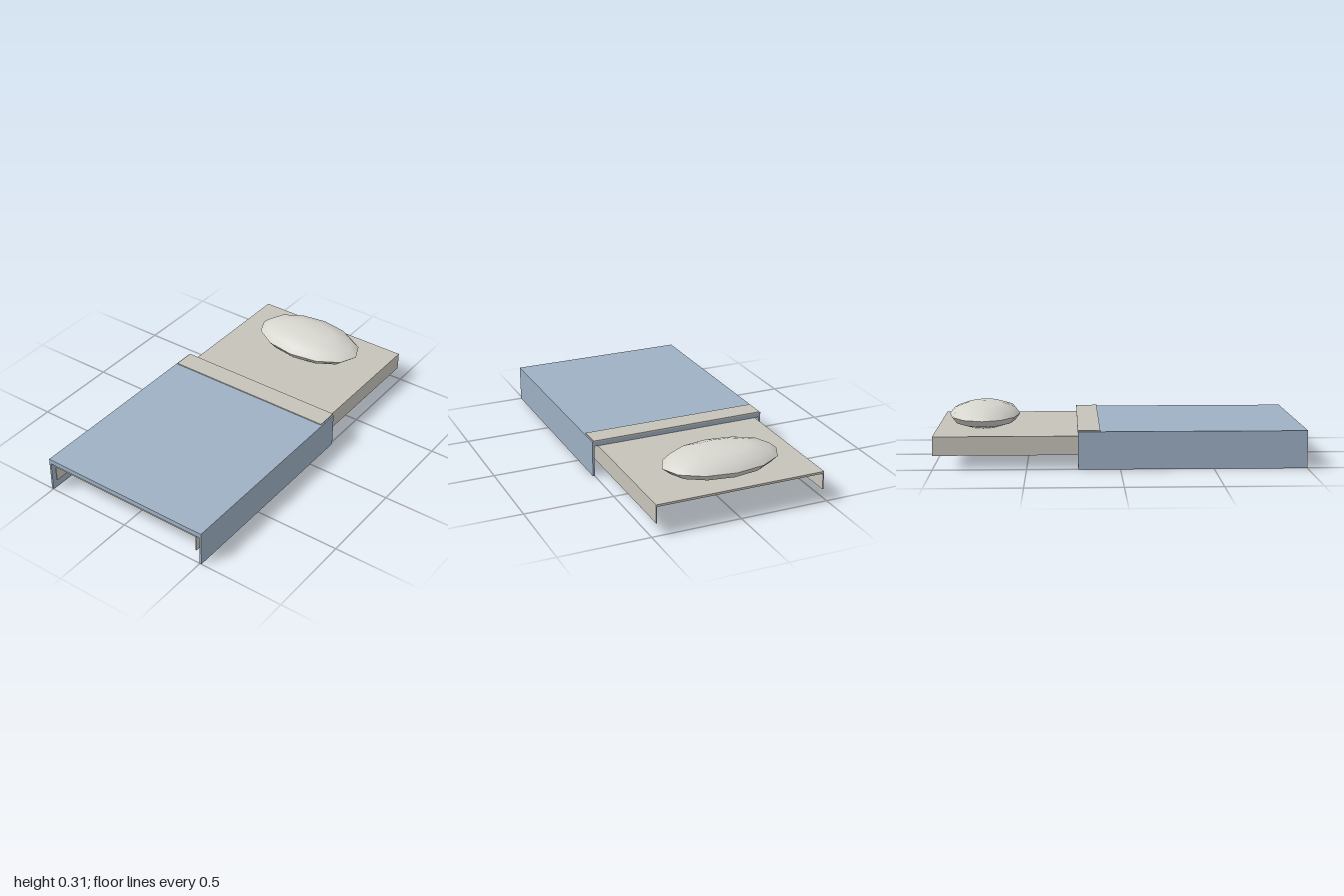
import * as THREE from 'three';
import { toCreasedNormals } from 'three/addons/utils/BufferGeometryUtils.js';

const material = (name, color) => {
  const m = new THREE.MeshStandardMaterial({ color });
  m.name = name;
  return m;
};

// Box given by its lower and upper corners
function slab(name, mat, [x0, y0, z0], [x1, y1, z1]) {
  const mesh = new THREE.Mesh(new THREE.BoxGeometry(x1 - x0, y1 - y0, z1 - z0), mat);
  mesh.name = name;
  mesh.position.set((x0 + x1) / 2, (y0 + y1) / 2, (z0 + z1) / 2);
  return mesh;
}

// Channel-shaped cloth: a flat top with two hanging sides, extruded along z
function drape(name, mat, { half, side, bottom, under, top, z0, z1 }) {
  const inner = half - side;
  const shape = new THREE.Shape([
    [-half, bottom], [-inner, bottom], [-inner, under], [inner, under],
    [inner, bottom], [half, bottom], [half, top], [-half, top],
  ].map(([x, y]) => new THREE.Vector2(x, y)));
  const geo = new THREE.ExtrudeGeometry(shape, { depth: z1 - z0, bevelEnabled: false });
  const mesh = new THREE.Mesh(geo, mat);
  mesh.name = name;
  mesh.position.z = z0;
  return mesh;
}

export function createModel() {
  const blue = material('blanket blue', 0x9eb0c4);
  const linen = material('linen', 0xc6c3b9);
  const pillowCloth = material('pillow cloth', 0xd6d5ce);

  const group = new THREE.Group();
  group.name = 'bedding';

  // Fitted sheet, running the whole length
  group.add(drape('sheet', linen, {
    half: 0.476, side: 0.006, bottom: 0.073, under: 0.163, top: 0.175, z0: -1, z1: 0.995,
  }));

  // Blanket over the lower part
  group.add(drape('blanket', blue, {
    half: 0.51, side: 0.011, bottom: 0, under: 0.1755, top: 0.203, z0: -0.225, z1: 1,
  }));

  // Turned-down strip at the head end of the blanket
  group.add(slab('blanketFold', linen, [-0.503, 0.2, -0.228], [0.503, 0.209, -0.107]));

  // Flattened faceted pillow with a sharp seam
  const pillowGeo = new THREE.SphereGeometry(1, 12, 6).scale(0.33, 0.072, 0.198);
  const pillow = new THREE.Mesh(toCreasedNormals(pillowGeo, 0.75), pillowCloth);
  pillow.name = 'pillow';
  pillow.position.set(0, 0.233, -0.745);
  group.add(pillow);

  return group;
}
